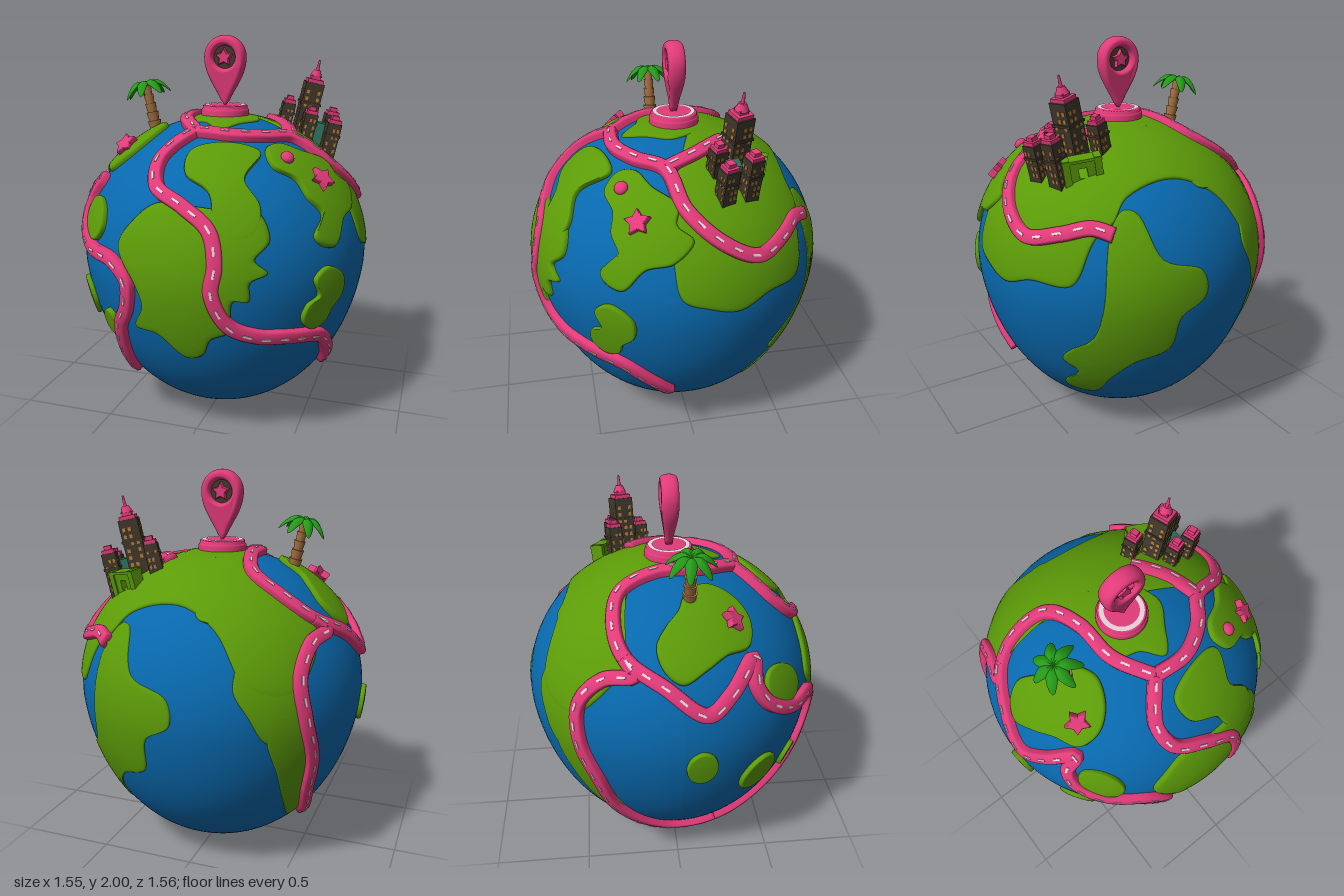
import * as THREE from 'three';
import { mergeGeometries, mergeVertices } from 'three/addons/utils/BufferGeometryUtils.js';

const V = (x, y, z) => new THREE.Vector3(x, y, z);
const CY = 0.795;
const paint = (name, color) => Object.assign(new THREE.MeshStandardMaterial({ color }), { name });

// Point on the slightly pear-shaped globe along direction d, lifted by h
function surf(d, h = 0) {
  const r = 1 / Math.sqrt((d.x * d.x + d.z * d.z) / 0.757 ** 2 + (d.y / CY) ** 2);
  return d.clone().multiplyScalar(r * (1 + 0.14 * d.y * (1 - Math.abs(d.y))) + h).add(V(0, CY, 0));
}

// Turns flat points (in hundredths) facing a given azimuth and elevation into globe directions
function facing(azDeg, elDeg) {
  const a = THREE.MathUtils.degToRad(azDeg), e = THREE.MathUtils.degToRad(elDeg);
  const h = V(Math.sin(a), 0, Math.cos(a)), right = V(Math.cos(a), 0, -Math.sin(a));
  const fwd = h.clone().multiplyScalar(Math.cos(e)).add(V(0, Math.sin(e), 0));
  const up = h.clone().multiplyScalar(-Math.sin(e)).add(V(0, Math.cos(e), 0));
  return pts => pts.map(([u, v]) => {
    const w = Math.sqrt(Math.max(0, 0.624 - (u * u + v * v) / 1e4));
    return V(0, 0.78 - CY, 0).addScaledVector(right, u / 100).addScaledVector(up, v / 100)
      .addScaledVector(fwd, w).normalize();
  });
}
const front = facing(0, 0), side = facing(90, 0), top = facing(0, 90);
const leftSide = facing(-90, 0), frontRight = facing(35, 25), backLeft = facing(-145, 25), backRight = facing(145, -25);

function gridGeometry(rows, closed) {
  const n = rows[0].length, pos = [], idx = [];
  rows.forEach(r => r.forEach(p => pos.push(p.x, p.y, p.z)));
  for (let i = 0; i < rows.length - 1; i++) for (let j = 0; j < (closed ? n : n - 1); j++) {
    const k = (j + 1) % n, a = i * n + j, b = a + n, c = i * n + k, d = c + n;
    idx.push(a, b, c, b, d, c);
  }
  const g = new THREE.BufferGeometry();
  g.setAttribute('position', new THREE.Float32BufferAttribute(pos, 3));
  g.setIndex(idx);
  g.computeVertexNormals();
  return g;
}

// Raised land: rings growing from a centre to a smooth coastline
function landGeometry(project, centre, pts, h) {
  if (THREE.ShapeUtils.area(pts.map(([x, y]) => ({ x, y }))) < 0) pts = [...pts].reverse();
  const coast = new THREE.CatmullRomCurve3(project(pts), true).getPoints(120).slice(0, -1);
  const c = project([centre])[0], rings = [];
  for (let i = 0; i <= 14; i++) rings.push([0.001 + 0.93 * i / 14, h]);
  rings.push([0.97, h * 0.85], [0.995, h * 0.45], [1, -0.012]);
  return gridGeometry(rings.map(([t, y]) => coast.map(p => surf(c.clone().lerp(p, t).normalize(), y))), true);
}
const oval = (x, y, rx, ry, tilt) => Array.from({ length: 8 }, (_, i) => {
  const a = i * Math.PI / 4, p = rx * Math.cos(a), q = ry * Math.sin(a);
  return [x + p * Math.cos(tilt) - q * Math.sin(tilt), y + p * Math.sin(tilt) + q * Math.cos(tilt)];
});

// Road: rounded strip swept over the globe, plus its evenly spaced centre dashes
function roadGeometry(dirs) {
  const curve = new THREE.CatmullRomCurve3(dirs), n = Math.ceil(curve.getLength() * 64);
  const path = curve.getSpacedPoints(n).map(d => d.normalize());
  const profile = [[-0.036, -0.03], [-0.036, 0.012], [-0.027, 0.022], [0, 0.025], [0.027, 0.022], [0.036, 0.012], [0.036, -0.03]];
  const rows = [], dashes = [];
  path.forEach((d, i) => {
    const p = surf(d, 0.014);
    const t = surf(path[Math.min(n, i + 1)]).sub(surf(path[Math.max(0, i - 1)])).normalize();
    const b = d.clone().cross(t).normalize(), up = t.clone().cross(b);
    const ring = s => profile.map(([x, y]) => p.clone().addScaledVector(b, x * s).addScaledVector(up, y * s));
    if (i === 0) rows.push(ring(0));
    rows.push(ring(1));
    if (i === n) rows.push(ring(0));
    if (i % 8 === 4) dashes.push(new THREE.BoxGeometry(0.011, 0.007, 0.045)
      .applyMatrix4(new THREE.Matrix4().makeBasis(b, up, t).setPosition(p.clone().addScaledVector(up, 0.024))));
  });
  return [gridGeometry(rows, false), mergeGeometries(dashes)];
}

function starGeometry(r, depth) {
  const pts = Array.from({ length: 10 }, (_, i) => {
    const a = Math.PI / 2 + i * Math.PI / 5, k = i % 2 ? r * 0.52 : r;
    return new THREE.Vector2(k * Math.cos(a), k * Math.sin(a));
  });
  return new THREE.ExtrudeGeometry(new THREE.Shape(pts), { depth, bevelSize: r * 0.12, bevelThickness: depth * 0.3, bevelSegments: 3 })
    .translate(0, 0, -depth / 2);
}

// Pin: rounded drop with a hole, thinner towards its tip
function pinGeometry() {
  const s = new THREE.Shape();
  s.moveTo(0, -0.222);
  s.bezierCurveTo(0.03, -0.15, 0.09, -0.09, 0.09, 0);
  s.absarc(0, 0, 0.09, 0, Math.PI, false);
  s.bezierCurveTo(-0.09, -0.09, -0.03, -0.15, 0, -0.222);
  s.holes.push(new THREE.Path().absarc(0, 0, 0.08, 0, Math.PI * 2, true));
  const raw = new THREE.ExtrudeGeometry(s, { depth: 0.006, bevelSize: 0.022, bevelThickness: 0.04, bevelSegments: 8, curveSegments: 24 })
    .translate(0, 0, -0.003);
  raw.deleteAttribute('normal');
  raw.deleteAttribute('uv');
  const g = mergeVertices(raw), p = g.attributes.position;
  for (let i = 0; i < p.count; i++) p.setZ(i, p.getZ(i) * (0.5 + 0.5 * THREE.MathUtils.smoothstep(p.getY(i), -0.24, -0.02)));
  g.computeVertexNormals();
  return g;
}

export function createModel() {
  const model = new THREE.Group();
  const sea = paint('sea blue', 0x0869ae), grass = paint('land green', 0x5c9b08), pink = paint('pink', 0xe23b79);
  const white = paint('road white', 0xe6d3da), leafGreen = paint('leaf green', 0x259a18), bark = paint('bark brown', 0xa5713f);
  const dark = paint('building dark', 0x40382c), glow = paint('window amber', 0xb9803a), teal = paint('block teal', 0x2c6f5c);
  const add = (name, geo, mat, parent = model) => {
    const m = new THREE.Mesh(geo, mat);
    m.name = name;
    parent.add(m);
    return m;
  };
  const stand = (name, dir, lift, up = dir) => {
    const g = new THREE.Group();
    g.name = name;
    g.position.copy(surf(dir, lift));
    g.quaternion.setFromUnitVectors(V(0, 1, 0), up.clone().normalize());
    model.add(g);
    return g;
  };
  const land = (name, project, centre, h, ...pts) => add(name, landGeometry(project, centre, pts, h), grass);
  const island = (project, x, y, rx, ry, tilt) => land('island', project, [x, y], 0.024, ...oval(x, y, rx, ry, tilt));
  const road = (name, ...dirs) => {
    const [strip, dashes] = roadGeometry(dirs);
    add(name, strip, pink);
    add(name + 'Dashes', dashes, white);
  };

  // Globe
  const globe = new THREE.SphereGeometry(1, 96, 64), gp = globe.attributes.position;
  for (let i = 0; i < gp.count; i++) {
    const p = surf(V(0, 0, 0).fromBufferAttribute(gp, i).normalize());
    gp.setXYZ(i, p.x, p.y, p.z);
  }
  globe.computeVertexNormals();
  add('globe', globe, sea);

  // Lands: centre, height, coastline
  land('frontLand', front, [2, 14], 0.022, [-13, 45], [6, 45], [17, 44], [33, 43], [40, 31], [35, 23], [41, 17], [34, 13], [34, 4],
    [27, 4], [25, -13], [16, -18], [11, -28], [3, -31], [-12, -18], [-25, -16], [-19, -3], [-22, 8], [-32, 25], [-24, 37]);
  land('frontUpperLand', front, [20, 53], 0.022, [-3, 66], [13, 69], [28, 65], [25, 55], [34, 44], [33, 32], [18, 32], [11, 50], [-2, 57]);
  land('starLand', frontRight, [33, 20], 0.025, [6, 42], [13, 45], [25, 41], [39, 37], [43, 29], [51, 25], [49, 13], [40, 6],
    [33, -7], [24, -6], [21, -2], [27, 8], [20, 16], [16, 25], [6, 32]);
  land('palmLand', top, [-45, -14], 0.025, [-66, 0], [-62, 8], [-54, 11], [-47, 6], [-41, 0], [-31, -5], [-26, -15], [-30, -27],
    [-39, -34], [-50, -32], [-56, -21], [-62, -11]);
  land('topLand', top, [0, 18], 0.01, [-55, 52], [-43, 62], [-34, 65], [-18, 58], [2, 52], [27, 51], [38, 54], [50, 35], [36, 14],
    [19, 16], [16, 8], [19, -5], [13, -16], [5, -27], [-4, -19], [-14, -15], [-18, 4], [-22, 18], [-33, 27], [-56, 25]);
  land('cityLand', side, [22, 46], 0.01, [-3, 72], [-12, 53], [-13, 37], [-10, 21], [2, 16], [18, 12], [34, 17], [52, 18],
    [53, 37], [51, 53], [42, 66], [29, 76], [13, 78]);
  land('backLand', backRight, [10, 24], 0.006, [6, 71], [12, 70], [25, 56], [44, 46], [47, 35], [36, 30], [31, 12], [13, 6], [0, -8],
    [-10, -26], [-24, -26], [-25, -18], [-17, -4], [-25, 4], [-20, 13], [-8, 23], [-2, 40], [1, 67]);
  land('backLeftLand', backLeft, [3, 15], 0.008, [-25, 29], [-14, 21], [-12, 5], [-14, -7], [-8, -19], [2, -33], [18, -30],
    [19, -17], [19, 5], [32, 20], [18, 37], [5, 53], [-19, 48]);
  land('lowerLeftLand', backLeft, [17, -42], 0.008, [2, -20], [2, -33], [9, -49], [17, -65], [26, -72], [33, -66], [30, -44], [22, -25], [12, -18]);
  land('rightIsland', side, [-43, 0], 0.024, [-43, 16], [-33, 9], [-33, -1], [-39, -8], [-41, -15], [-48, -17], [-54, -10], [-53, -2], [-48, 2], [-50, 11]);
  island(front, -51, 32, 8, 10, -0.3);
  island(front, -65, -14, 6, 12, 0.1);
  island(front, -44, -20, 5, 8, 0.1);
  island(leftSide, 9, 2, 8, 10, 0);

  // Roads
  road('frontRoad', ...top([[-5, -31], [-14, -42]]),
    ...front([[-17, 60], [-14, 51], [1, 44], [14, 35], [18, 21], [17, 8], [25, -9], [38, -16]]),
    ...side([[-59, -18], [-40, -23], [-24, -37], [-14, -47]]));
  road('cityRoad', ...top([[-5, -31], [13, -31], [27, -23], [37, -11], [55, -5], [65, 10], [65, 27], [55, 41], [44, 50], [37, 57]]));
  road('spurRoad', ...top([[37, -11], [31, 4], [20, 19]]));
  road('leftRoad', ...top([[-5, -31], [-16, -13], [-18, 8], [-25, 25], [-39, 29], [-54, 25], [-66, 8], [-72, -11], [-66, -22]]),
    ...front([[-53, 48], [-60, 38], [-61, 28], [-52, 19], [-36, 17], [-27, 9], [-29, -5], [-36, -18], [-39, -39], [-40, -53], [-47, -60]]));
  road('backRoad', ...top([[-54, 25]]),
    ...backLeft([[37, 20], [26, 13], [18, -3], [21, -22], [28, -41], [30, -60], [38, -69]]), ...front([[-47, -60]]));

  // Pin on its round base
  const baseProfile = [[0.127, 1.57], [0.127, 1.615], [0.122, 1.622], [0.118, 1.624], [0.118, 1.638], [0.112, 1.642], [0, 1.642]];
  add('pinBase', new THREE.LatheGeometry(baseProfile.map(p => new THREE.Vector2(...p)), 48), pink);
  add('pinBaseRing', new THREE.RingGeometry(0.085, 0.108, 48).rotateX(-Math.PI / 2).translate(0, 1.645, 0), white);
  const pin = new THREE.Group();
  pin.name = 'pin';
  pin.position.y = 1.888;
  model.add(pin);
  add('pinBody', pinGeometry(), pink, pin);
  add('pinRecess', new THREE.CylinderGeometry(0.08, 0.08, 0.026, 32).rotateX(Math.PI / 2), dark, pin);
  add('pinStar', starGeometry(0.042, 0.045), pink, pin);

  // Stars and dome on the land
  const star = (x, v, lift, up) => add('star', starGeometry(0.056, 0.024).rotateX(-Math.PI / 2), pink, stand('landStar', top([[x, v]])[0], lift, up));
  star(54, -26, 0.034, V(0.55, 0.6, 0.4));
  star(-43, -24, 0.042, V(-0.35, 0.65, 0.6));
  const dome = add('dome', new THREE.SphereGeometry(0.034, 20, 12), pink, stand('landDome', top([[39, -31]])[0], 0.03));
  dome.scale.y = 0.7;

  // Palm tree
  const palm = stand('palm', top([[-36, -6]])[0], 0.01, V(-0.22, 1, 0));
  for (let i = 0; i < 5; i++)
    add('trunkSegment', new THREE.CylinderGeometry(0.036 - i * 0.003, 0.027 - i * 0.002, 0.054, 12).translate(0, 0.018 + i * 0.047, 0), bark, palm);
  for (let k = 0; k < 7; k++) {
    const leaf = new THREE.SphereGeometry(1, 12, 12), p = leaf.attributes.position;
    for (let i = 0; i < p.count; i++) {
      const t = (p.getX(i) + 1) / 2, w = 0.029 * (1.2 - 0.4 * t);
      p.setXYZ(i, 0.125 * t, 0.09 * t - 0.15 * t * t + p.getY(i) * 0.011 - Math.abs(p.getZ(i)) * 0.008, p.getZ(i) * w);
    }
    leaf.computeVertexNormals();
    add('leaf', leaf.rotateY(k * Math.PI * 2 / 7 + 0.3).translate(0, 0.238, 0), leafGreen, palm);
  }

  // City towers: position, width, height, spire
  const cityLean = V(0.22, 1, -0.04);
  const tower = (x, v, w, h, spire) => {
    const t = stand('tower', top([[x, v]])[0], 0, cityLean);
    const box = (name, bw, bh, y, mat) => add(name, new THREE.BoxGeometry(bw, bh, bw).translate(0, y, 0), mat, t);
    t.rotateY(0.35);
    box('towerBody', w, h + 0.03, h / 2 - 0.015, dark);
    box('towerLedge', w * 1.12, 0.012, h * 0.62, dark);
    box('towerRoof', w * 0.85, 0.022, h + 0.008, pink);
    box('towerCap', w * 0.5, 0.022, h + 0.028, pink);
    if (spire) {
      add('spireBase', new THREE.CylinderGeometry(0.018, 0.034, 0.035, 12).translate(0, h + 0.05, 0), pink, t);
      add('spire', new THREE.CylinderGeometry(0.005, 0.01, 0.06, 10).translate(0, h + 0.09, 0), pink, t);
    }
    const panes = [];
    for (let s = 0; s < 4; s++) for (let c = -1; c <= 1; c++) for (let y = 0.025; y < h - 0.015; y += 0.036)
      if ((c + s + Math.round(y * 100)) % 3) panes.push(new THREE.BoxGeometry(w * 0.16, 0.019, 0.004)
        .translate(c * w * 0.29, y, w / 2 + 0.001).rotateY(s * Math.PI / 2));
    add('towerWindows', mergeGeometries(panes), glow, t);
  };
  tower(36, 21, 0.1, 0.29, true);
  tower(25, 26, 0.07, 0.14, false);
  tower(47, 26, 0.075, 0.21, false);
  tower(40, 12, 0.07, 0.13, false);
  tower(51, 14, 0.075, 0.17, false);
  add('lowBlock', new THREE.BoxGeometry(0.07, 0.14, 0.07).translate(0, 0.05, 0), teal, stand('cityBlock', top([[44, 18]])[0], 0, cityLean));

  // Green gate behind the city
  const outline = (x, y0, y1) => [[-x, y0], [x, y0], [x, y1], [-x, y1]].map(p => new THREE.Vector2(...p));
  const wall = new THREE.Shape(outline(0.085, -0.04, 0.085));
  wall.holes.push(new THREE.Path(outline(0.02, 0, 0.05)));
  const gate = stand('gate', top([[38, 32]])[0], 0, V(0.2, 1, -0.1));
  gate.rotateY(-0.38);
  add('gateWall', new THREE.ExtrudeGeometry(wall, { depth: 0.05, bevelEnabled: false }).translate(0, 0, -0.025), grass, gate);
  for (const s of [-1, 1]) add('gatePost', new THREE.BoxGeometry(0.035, 0.14, 0.065).translate(s * 0.075, 0.03, 0), grass, gate);
  add('gateTop', new THREE.BoxGeometry(0.19, 0.014, 0.07).translate(0, 0.09, 0), grass, gate);

  return model;
}
